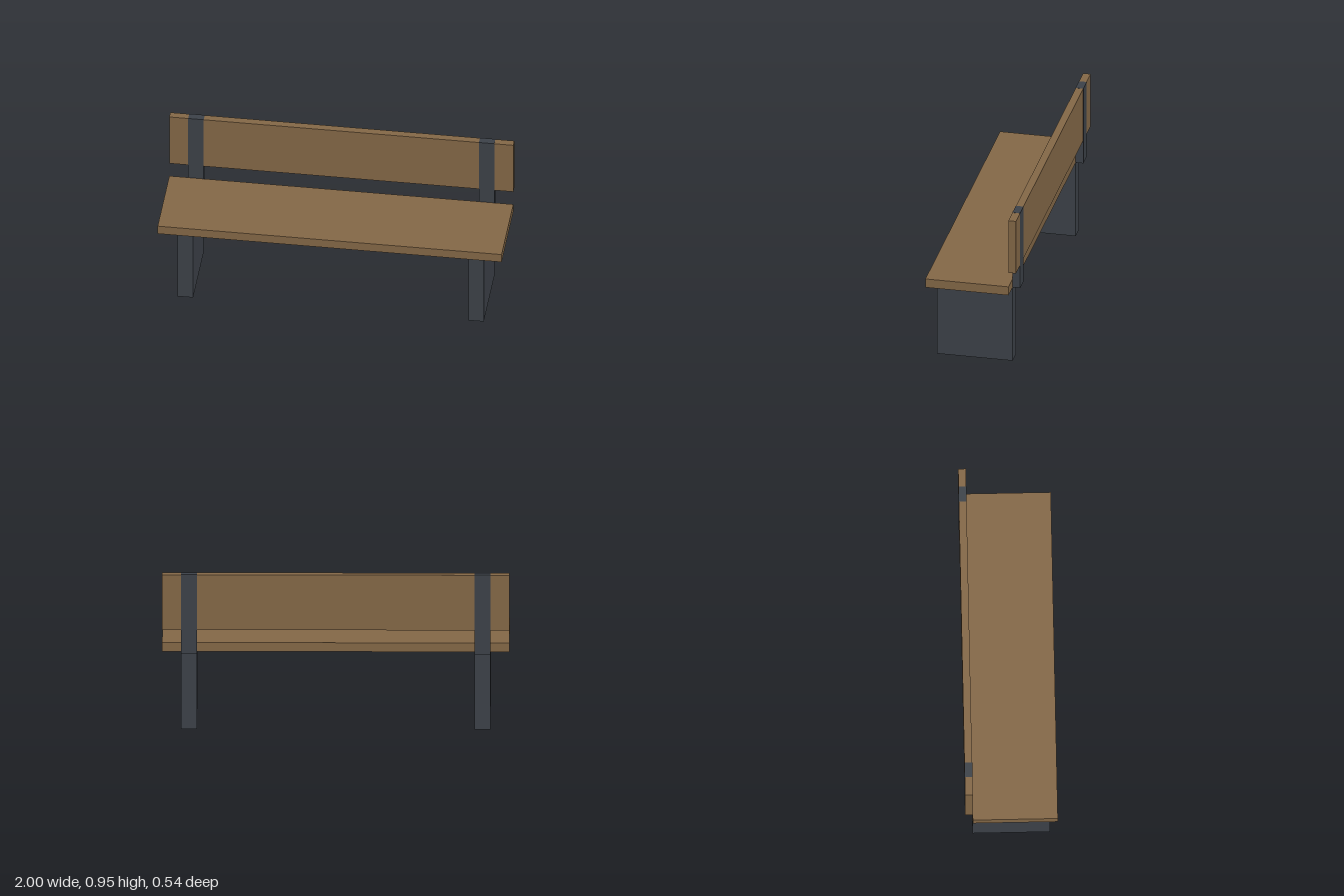
import * as THREE from 'three';

export function createModel() {
  const wood = new THREE.MeshStandardMaterial({ color: 0x836746 });
  wood.name = 'brown wood';
  const metal = new THREE.MeshStandardMaterial({ color: 0x3c4148 });
  metal.name = 'dark grey metal';

  const bench = new THREE.Group();
  bench.name = 'bench';

  // Box given by its lower and upper corners
  function addBox(name, material, [x0, y0, z0], [x1, y1, z1]) {
    const mesh = new THREE.Mesh(new THREE.BoxGeometry(x1 - x0, y1 - y0, z1 - z0), material);
    mesh.position.set((x0 + x1) / 2, (y0 + y1) / 2, (z0 + z1) / 2);
    mesh.name = name;
    bench.add(mesh);
  }

  const seatBottom = 0.47, top = 0.947;
  const back = -0.267, backFront = -0.223;

  // Planks
  addBox('seat', wood, [-1, seatBottom, backFront], [1, 0.524, 0.267]);
  addBox('backrest', wood, [-1, 0.614, back], [1, top, backFront]);

  // Slab legs and back posts; the posts stand a hair proud of the backrest
  const inner = 0.8, outer = 0.89, proud = 0.001;
  for (const [side, x0, x1] of [['left', inner, outer], ['right', -outer, -inner]]) {
    addBox(side + 'Leg', metal, [x0, 0, -0.223], [x1, seatBottom, 0.223]);
    addBox(side + 'BackPost', metal, [x0, seatBottom, back - proud], [x1, top + proud, backFront + proud]);
  }
  return bench;
}
